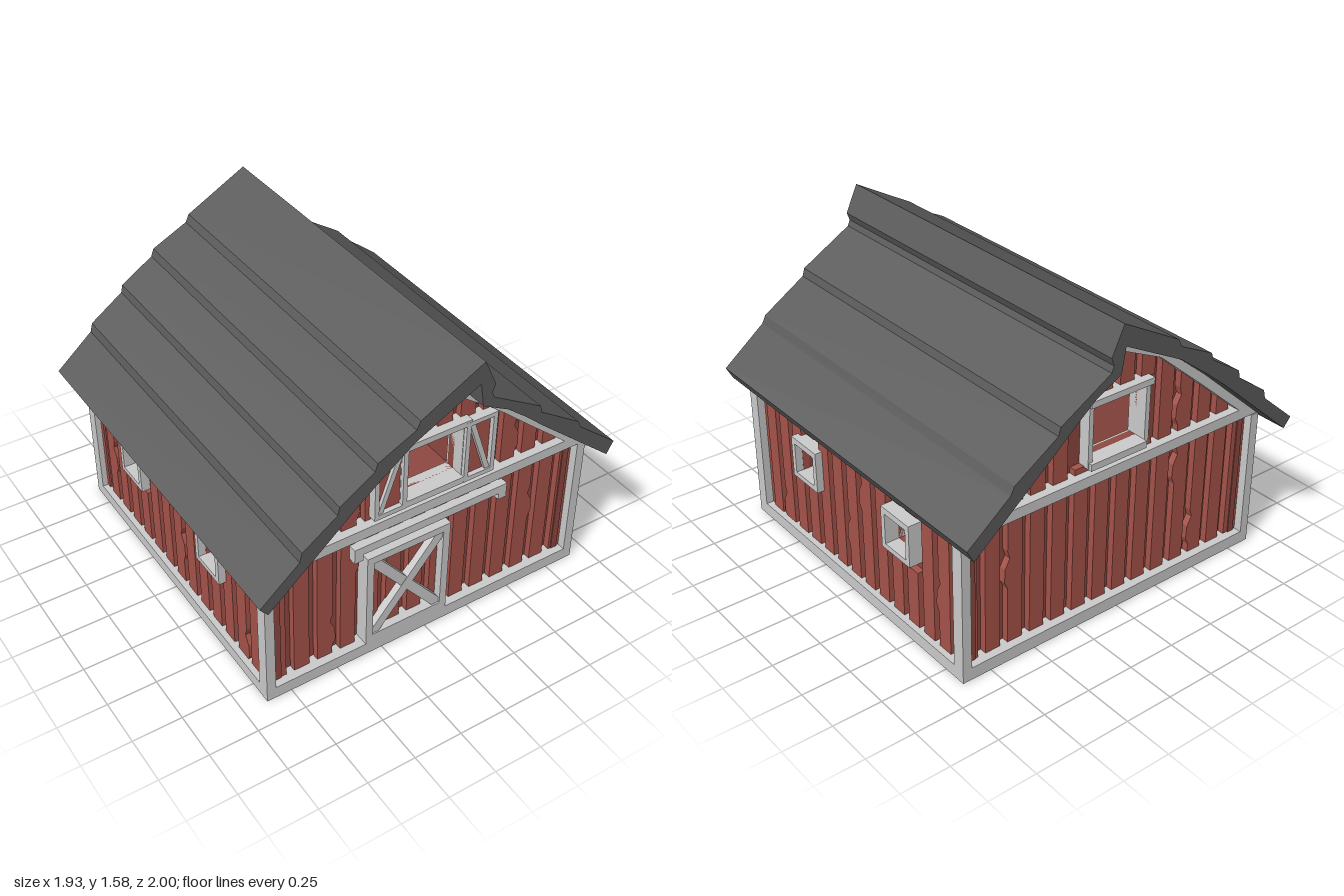
import * as THREE from 'three';

const paint = (color) => new THREE.MeshStandardMaterial({ color, flatShading: true, side: THREE.DoubleSide });
const RED = paint(0xa6544a), DARK_RED = paint(0x8e4840), TRIM = paint(0xcccccc), ROOF = paint(0x5c5c5c);

// Wall limits
const LEFT = -0.88, RIGHT = 0.905, FRONT = 0.878;
// Underside of the roof and lower edge of the rake trim, from one eave to the other
const UNDER = [[-0.93, 0.69], [-0.485, 1.08], [-0.36, 1.18], [-0.2, 1.3], [0.13, 1.47], [0.15, 1.345], [0.29, 1.27], [0.39, 1.19], [0.51, 1.085], [0.93, 0.735]];
const RAKE = [[-0.74, 0.8], [-0.485, 1.02], [-0.36, 1.125], [-0.2, 1.26], [0.115, 1.405], [0.13, 1.32], [0.29, 1.205], [0.39, 1.125], [0.51, 1.02], [0.77, 0.8]];

// Height of a left-to-right polyline at x
function heightAt(line, x) {
  for (let i = 1; i < line.length; i++) {
    const [x0, y0] = line[i - 1], [x1, y1] = line[i];
    if (x >= x0 && x <= x1) return y0 + ((y1 - y0) * (x - x0)) / (x1 - x0);
  }
  return 0;
}

const rect = (x0, x1, y0, y1) => [[x0, y0], [x1, y0], [x1, y1], [x0, y1]];
const toPoints = (pts) => pts.map(([x, y]) => new THREE.Vector2(x, y));

// Flat outline extruded from a to b, along z, or along x when sideways
function prism(parent, name, pts, a, b, mat, { sideways = false, holes = [] } = {}) {
  const shape = new THREE.Shape(toPoints(pts));
  holes.forEach((h) => shape.holes.push(new THREE.Path(toPoints(h))));
  const geo = new THREE.ExtrudeGeometry(shape, { depth: Math.abs(b - a), bevelEnabled: false });
  if (sideways) geo.rotateY(-Math.PI / 2).translate(Math.max(a, b), 0, 0);
  else geo.translate(0, 0, Math.min(a, b));
  const mesh = new THREE.Mesh(geo, mat);
  mesh.name = name;
  parent.add(mesh);
  return mesh;
}

// Straight bar of width w between two points
function bar(parent, name, [x0, y0], [x1, y1], w, a, b) {
  const len = Math.hypot(x1 - x0, y1 - y0);
  const nx = (-(y1 - y0) / len) * w / 2, ny = ((x1 - x0) / len) * w / 2;
  prism(parent, name, [[x0 - nx, y0 - ny], [x1 - nx, y1 - ny], [x1 + nx, y1 + ny], [x0 + nx, y0 + ny]], a, b, TRIM);
}

// Board outline with a sloped top; a cracked one has a jagged right edge
function board(x0, x1, y0, y1, y2, crackAt) {
  const pts = [[x0, y0], [x1, y0]];
  if (crackAt) [[0, -0.09], [0.018, -0.05], [0.014, 0.02], [-0.012, 0.07], [0, 0.11]]
    .forEach(([dx, dy]) => pts.push([x1 + dx, crackAt + dy]));
  return [...pts, [x1, y2], [x0, y1]];
}

function gableEnd(parent, s) {
  const g = new THREE.Group();
  g.name = s > 0 ? 'frontWall' : 'backWall';
  parent.add(g);
  const face = s * FRONT, boardFace = s * 0.835, back = s * 0.8;
  const opening = rect(-0.14, 0.17, 0.855, 1.14);

  // Wall with small gaps left open below the rake
  const gaps = [-0.48, -0.355, -0.23, 0.27, 0.39, 0.51].map((x) => {
    const l = x - 0.018, r = x + 0.018;
    return [[l, heightAt(RAKE, l) - 0.035], [r, heightAt(RAKE, r) - 0.035], [r, heightAt(RAKE, r) + 0.01], [l, heightAt(RAKE, l) + 0.01]];
  });
  const outline = [[LEFT + 0.04, 0.01], [RIGHT - 0.04, 0.01], [RIGHT - 0.04, 0.78], ...UNDER.slice(1, -1).reverse(), [LEFT + 0.04, 0.76]];
  prism(g, 'wallPanel', outline, s * 0.76, back, DARK_RED, { holes: [opening, ...gaps] });

  // Vertical boards, below and above the middle band
  const cracks = { '-6': 0.2, '-5': 0.6, 3: 0.45 };
  for (let k = -8; k <= 5; k++) {
    const c = 0.2075 + 0.125 * k, x0 = Math.max(c - 0.041, LEFT + 0.04), x1 = Math.min(c + 0.041, RIGHT - 0.04);
    if (x1 - x0 < 0.02) continue;
    prism(g, 'board', board(x0, x1, 0.05, 0.75, 0.75, cracks[k]), back, boardFace, RED);
    const top0 = heightAt(RAKE, x0) + 0.02, top1 = heightAt(RAKE, x1) + 0.02;
    if (Math.min(top0, top1) < 0.83) continue;
    if (x1 > -0.15 && x0 < 0.18) {
      prism(g, 'board', board(x0, x1, 0.79, 0.83, 0.83), back, boardFace, RED);
      prism(g, 'board', board(x0, x1, 1.16, top0, top1), back, boardFace, RED);
    } else {
      const crack = Math.abs(k) === 5 || k === 2 ? 0.92 : 0;
      prism(g, 'board', board(x0, x1, 0.79, top0, top1, crack), back, boardFace, RED);
    }
  }

  // Trim
  prism(g, 'baseTrim', rect(LEFT, RIGHT, 0, 0.065), back, face, TRIM);
  prism(g, 'middleBand', rect(LEFT + 0.01, RIGHT - 0.01, 0.745, 0.8), back, face, TRIM);
  const rakeTop = [[-0.865, 0.747], ...UNDER.slice(1, -1), [0.9, 0.76]];
  prism(g, 'rakeTrim', [...RAKE, ...rakeTop.reverse()], back, face, TRIM);

  // Loft window lining, lintel and sill
  prism(g, 'loftWindowFrame', rect(-0.165, 0.195, 0.825, 1.165), s * 0.75, s * 0.86, TRIM, { holes: [opening] });
  prism(g, 'loftLintel', rect(-0.17, 0.2, 1.14, 1.172), back, face, TRIM);
  prism(g, 'loftSill', rect(-0.14, 0.19, 0.82, 0.855), back, face, TRIM);
  return g;
}

function sideWall(parent, outer, s) {
  const g = new THREE.Group();
  g.name = s > 0 ? 'leftWall' : 'rightWall';
  parent.add(g);
  const at = (inset) => outer - s * inset, side = { sideways: true };
  const centres = [0.373, -0.393];
  const openings = centres.map((z) => rect(z - 0.08, z + 0.08, 0.44, 0.6));
  prism(g, 'wallPanel', rect(-0.84, 0.84, 0.01, 0.76), at(0.1), at(0.065), DARK_RED, { sideways: true, holes: openings });

  // Vertical boards, interrupted at the windows
  const cracks = { '-9': 0.34, '-4': 0.56, '-3': 0.3, 2: 0.14 };
  for (let k = -10; k <= 3; k++) {
    const c = 0.373 + 0.12 * k, z0 = Math.max(c - 0.041, -0.83), z1 = Math.min(c + 0.041, 0.83);
    if (z1 - z0 < 0.02) continue;
    const crossing = centres.some((z) => z0 < z + 0.075 && z1 > z - 0.075);
    const spans = crossing ? [[0.05, 0.37], [0.665, 0.755]] : [[0.05, 0.755]];
    spans.forEach(([y0, y1]) => prism(g, 'board', board(z0, z1, y0, y1, y1, crossing ? 0 : cracks[k]), at(0.065), at(0.03), RED, side));
  }

  // Window frames with deep linings
  centres.forEach((z, i) => prism(g, 'sideWindowFrame', rect(z - 0.108, z + 0.108, 0.413, 0.632), at(0.11), at(-0.008), TRIM, { sideways: true, holes: [openings[i]] }));

  // Base and corner posts
  prism(g, 'baseTrim', rect(-FRONT, FRONT, 0, 0.065), at(0.065), outer, TRIM, side);
  [-1, 1].forEach((e) => prism(g, 'cornerPost', rect(Math.min(e * 0.812, e * FRONT), Math.max(e * 0.812, e * FRONT), 0, s > 0 ? 0.765 : 0.74), at(0.048), outer, TRIM, side));
}

function barnDoor(parent) {
  const g = new THREE.Group();
  g.name = 'barnDoor';
  parent.add(g);
  const z0 = 0.8, z1 = 0.877;
  prism(g, 'doorFrame', rect(-0.342, 0.118, 0.04, 0.605), z0, z1 + 0.001, TRIM, { holes: [rect(-0.305, 0.08, 0.11, 0.565)] });
  bar(g, 'doorBrace', [-0.305, 0.1], [0.08, 0.57], 0.05, 0.83, z1 - 0.006);
  bar(g, 'doorBrace', [-0.305, 0.57], [0.08, 0.1], 0.05, 0.83, z1 - 0.008);
  // Sliding rail with turned-down ends
  prism(g, 'doorRail', [[-0.412, 0.615], [-0.365, 0.615], [-0.365, 0.65], [0.392, 0.65], [0.392, 0.615], [0.437, 0.615], [0.437, 0.695], [-0.412, 0.695]], z0, z1, TRIM);
}

function shutters(parent) {
  // Mirrored about the middle of the loft window
  const mid = 0.0165;
  [-1, 1].forEach((m) => {
    const g = new THREE.Group();
    g.name = m > 0 ? 'leftShutter' : 'rightShutter';
    parent.add(g);
    const box = (a, b, y0, y1) => rect(Math.min(mid + m * a, mid + m * b), Math.max(mid + m * a, mid + m * b), y0, y1);
    prism(g, 'shutterPanel', box(0.16, 0.322, 0.825, 1.155), 0.81, 0.855, RED);
    prism(g, 'shutterFrame', box(0.156, 0.328, 0.82, 1.16), 0.805, 0.879, TRIM, { holes: [box(0.18, 0.305, 0.845, 1.137)] });
    bar(g, 'shutterBrace', [mid + m * 0.19, 1.145], [mid + m * 0.295, 0.838], 0.026, 0.84, 0.872);
  });
}

export function createModel() {
  const barn = new THREE.Group();
  barn.name = 'barn';

  const front = gableEnd(barn, 1);
  gableEnd(barn, -1);
  sideWall(barn, RIGHT, 1);
  sideWall(barn, LEFT, -1);
  barnDoor(front);
  shutters(front);

  const floor = new THREE.Mesh(new THREE.BoxGeometry(RIGHT - LEFT - 0.004, 0.02, 2 * FRONT - 0.004), DARK_RED);
  floor.position.set((LEFT + RIGHT) / 2, 0.009, 0);
  floor.name = 'floor';
  barn.add(floor);

  // Crooked roof with stepped courses
  const top = [[0.965, 0.8], [0.74, 0.98], [0.72, 1.02], [0.49, 1.17], [0.478, 1.21], [0.207, 1.37], [0.195, 1.4], [0.21, 1.44], [0.145, 1.58],
    [-0.178, 1.405], [-0.197, 1.365], [-0.388, 1.272], [-0.402, 1.232], [-0.575, 1.122], [-0.585, 1.08], [-0.76, 0.957], [-0.772, 0.91], [-0.97, 0.74]];
  prism(barn, 'roof', [...UNDER, ...top], -1, 1, ROOF);
  return barn;
}
